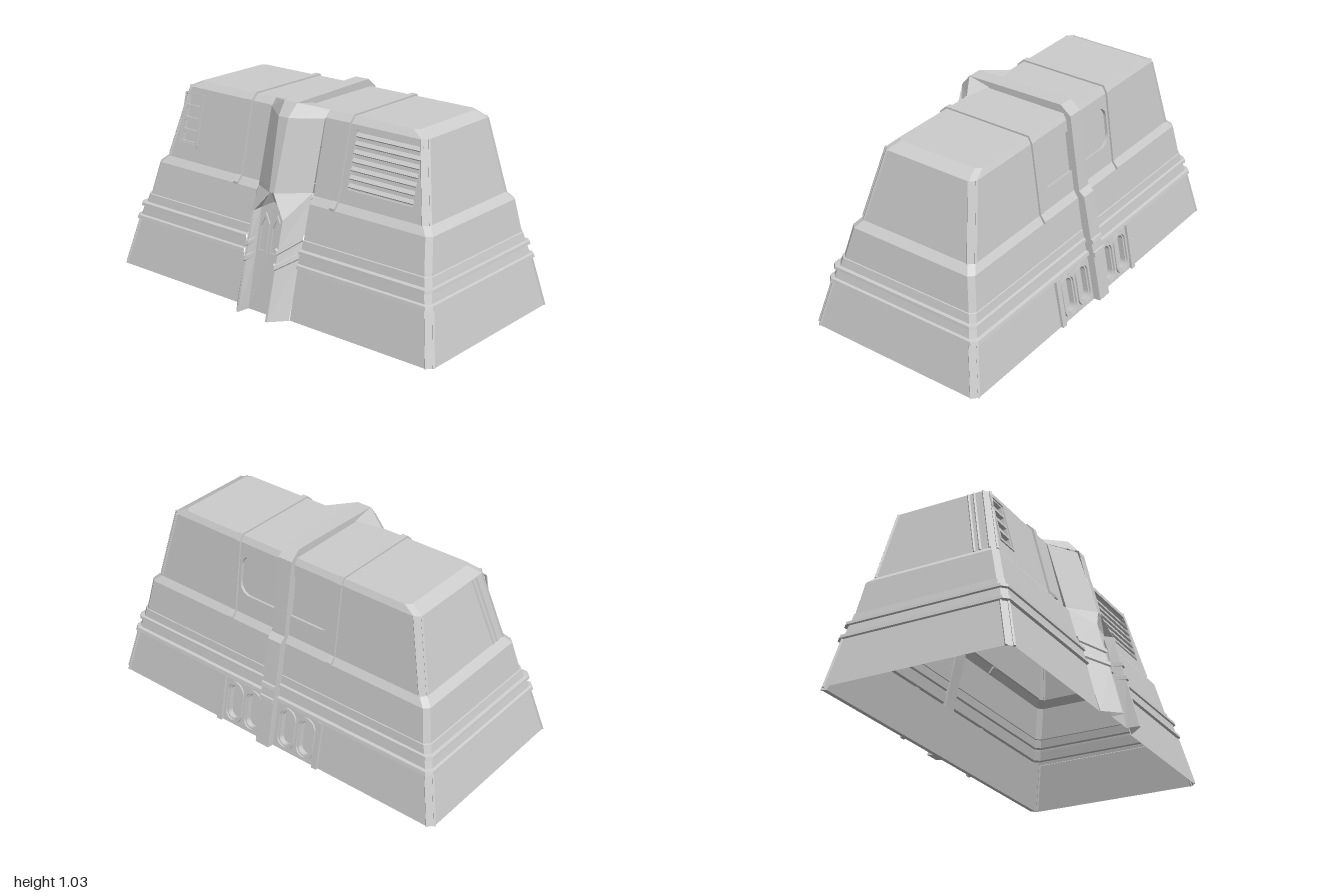
import * as THREE from 'three';

const mat = new THREE.MeshStandardMaterial({ color: 0xcccccc, flatShading: true, side: THREE.DoubleSide });
const V = (x, y, z) => new THREE.Vector3(x, y, z);
const V2 = (x, y) => new THREE.Vector2(x, y);

function add(parent, name, geo) {
  const m = new THREE.Mesh(geo, mat);
  m.name = name;
  parent.add(m);
  return m;
}

// Skin between rows of points; keep(row, column) can leave openings
function loft(rows, closed, keep = () => true) {
  const pos = [];
  const n = rows[0].length;
  for (let j = 0; j < rows.length - 1; j++) {
    for (let i = 0; i < (closed ? n : n - 1); i++) {
      if (!keep(j, i)) continue;
      const k = (i + 1) % n;
      const [a, b, c, d] = [rows[j][i], rows[j][k], rows[j + 1][k], rows[j + 1][i]];
      for (const p of [a, d, b, b, d, c]) pos.push(p.x, p.y, p.z);
    }
  }
  const g = new THREE.BufferGeometry();
  g.setAttribute('position', new THREE.Float32BufferAttribute(pos, 3));
  g.computeVertexNormals();
  return g;
}

function roundRect(cx, cy, w, h, r) {
  const s = new THREE.Shape();
  const x = w / 2 - r, y = h / 2 - r;
  s.absarc(cx + x, cy + y, r, 0, Math.PI / 2);
  s.absarc(cx - x, cy + y, r, Math.PI / 2, Math.PI);
  s.absarc(cx - x, cy - y, r, Math.PI, Math.PI * 1.5);
  s.absarc(cx + x, cy - y, r, Math.PI * 1.5, Math.PI * 2);
  s.closePath();
  return s;
}

const extrude = (shape, depth) =>
  new THREE.ExtrudeGeometry(shape, { depth, bevelEnabled: false, curveSegments: 8 });

// Flat wall with recesses; local origin is the middle of its lower edge, +z faces out
function panel(parent, name, [bl, br, tr, tl], holes, depth) {
  const u = br.clone().sub(bl).normalize();
  const n = u.clone().cross(tl.clone().sub(bl)).normalize();
  const v = n.clone().cross(u);
  const o = bl.clone().add(br).multiplyScalar(0.5);
  const flat = [bl, br, tr, tl].map(p => p.clone().sub(o)).map(p => V2(p.dot(u), p.dot(v)));
  const g = new THREE.Group();
  g.name = name;
  g.applyMatrix4(new THREE.Matrix4().makeBasis(u, v, n).setPosition(o));
  parent.add(g);
  const wall = new THREE.Shape(flat);
  wall.holes.push(...holes);
  add(g, name + 'Wall', extrude(wall, depth)).position.z = -depth;
  add(g, name + 'RecessBack', new THREE.ShapeGeometry(new THREE.Shape(flat))).position.z = -depth;
  return g;
}

// Strap of a given side profile, centred on z
function strap(parent, name, pts, z, width) {
  const g = extrude(new THREE.Shape(pts.map(p => V2(...p))), width);
  add(parent, name, g.translate(0, 0, z - width / 2));
}

function bar(parent, name, a, b, r) {
  const m = add(parent, name, new THREE.CylinderGeometry(r, r, a.distanceTo(b), 4));
  m.position.copy(a).add(b).multiplyScalar(0.5);
  m.quaternion.setFromUnitVectors(V(0, 1, 0), b.clone().sub(a).normalize());
}

// Hull levels: y, -x face, +x face, half length
const LEVELS = [
  [0, -0.465, 0.51, 1], [0.245, -0.405, 0.462, 0.945],
  [0.25, -0.418, 0.475, 0.953], [0.268, -0.413, 0.47, 0.949],
  [0.272, -0.4, 0.455, 0.937], [0.318, -0.39, 0.445, 0.925],
  [0.32, -0.4, 0.455, 0.937], [0.335, -0.397, 0.452, 0.934],
  [0.338, -0.375, 0.44, 0.918], [0.38, -0.365, 0.432, 0.907],
  [0.382, -0.358, 0.428, 0.902], [0.55, -0.315, 0.4, 0.872],
  [0.585, -0.285, 0.375, 0.835], [0.95, -0.195, 0.322, 0.75],
  [0.98, -0.165, 0.305, 0.685],
];
const GAP = 0.17, CABIN = 12;

function ring([y, l, r, z]) {
  const c = 0.025;
  return [[l, -GAP], [l, c - z], [l + c, -z], [r - c, -z], [r, c - z],
    [r, z - c], [r - c, z], [l + c, z], [l, z - c], [l, GAP]].map(([a, b]) => V(a, y, b));
}

function buildHull(root) {
  const rows = LEVELS.map(ring);
  const lo = rows[CABIN], hi = rows[CABIN + 1];
  // Walls and roof, leaving room for the recessed panels and the buttress
  const keep = (j, i) => {
    if (i === 9) return j > CABIN;
    if (j === 0) return i !== 4;
    return j !== CABIN || ![0, 4, 8].includes(i);
  };
  const roofCentre = rows[0].map(() => V(0.07, 0.98, 0));
  add(root, 'hull', loft([...rows, roofCentre], true, keep));

  // Side window
  panel(root, 'window', [lo[5], lo[4], hi[4], hi[5]], [roundRect(0, 0.207, 0.565, 0.207, 0.06)], 0.015);

  // Oval ports in the lower wall
  const ports = [-0.23, -0.11, 0.11, 0.23];
  const base = panel(root, 'ports', [rows[0][5], rows[0][4], rows[1][4], rows[1][5]],
    ports.map(u => roundRect(u, 0.125, 0.07, 0.185, 0.035)), 0.03);
  for (const u of ports) {
    const rim = roundRect(u, 0.125, 0.11, 0.225, 0.055);
    rim.holes.push(roundRect(u, 0.125, 0.086, 0.2, 0.043));
    add(base, 'portRim', extrude(rim, 0.01));
  }

  // Louvred vent
  const vent = panel(root, 'vent', [lo[9], lo[8], hi[8], hi[9]].map(p => p.clone()),
    [roundRect(0.06, 0.21, 0.38, 0.28, 0.004)], 0.025);
  for (let k = 0; k < 7; k++) {
    const slat = add(vent, 'ventSlat', new THREE.BoxGeometry(0.38, 0.022, 0.008));
    slat.position.set(0.06, 0.09 + k * 0.04, -0.01);
    slat.rotation.x = -0.6;
  }

  // Column of small openings
  const slots = [0, 1, 2, 3].map(k => roundRect(-0.2, 0.12 + k * 0.062, 0.09, 0.046, 0.003));
  const grille = panel(root, 'grille', [lo[1], lo[0], hi[0], hi[1]], slots, 0.02);
  const frame = roundRect(-0.2, 0.213, 0.13, 0.27, 0.004);
  frame.holes.push(roundRect(-0.2, 0.213, 0.11, 0.25, 0.004));
  add(grille, 'grilleFrame', extrude(frame, 0.006));

  // Corner trims on the base and the cabin
  for (const j of [0, CABIN]) {
    for (let i = 1; i <= 8; i++) bar(root, 'cornerTrim', rows[j][i], rows[j + 1][i], 0.007);
  }
  // Ribs on the rear wall
  for (const x of [0.05, 0.08]) {
    bar(root, 'rearRib', lo[2].clone().add(V(x, 0, 0)), hi[2].clone().add(V(x, 0, 0)), 0.007);
  }
}

function buildStraps(root) {
  // Main hoop down the wall and over the roof
  strap(root, 'hoop', [[0.548, 0.008], [0.502, 0.245], [0.51, 0.25], [0.505, 0.272], [0.496, 0.274],
    [0.486, 0.318], [0.496, 0.322], [0.49, 0.34], [0.48, 0.342], [0.435, 0.565], [0.405, 0.59],
    [0.345, 0.975], [0.29, 1.02], [-0.25, 1.01], [-0.25, 0.97], [0.29, 0.97], [0.31, 0.94],
    [0.36, 0.585], [0.385, 0.55], [0.44, 0.3], [0.5, 0]], 0, 0.08);
  for (const z of [-0.31, 0.31]) {
    strap(root, 'roofRail', [[0.41, 0.55], [0.408, 0.562], [0.384, 0.592], [0.331, 0.955], [0.312, 0.989],
      [-0.17, 0.989], [-0.205, 0.955], [-0.294, 0.592], [-0.322, 0.562], [-0.322, 0.55], [-0.3, 0.55],
      [-0.27, 0.585], [-0.185, 0.945], [-0.155, 0.97], [0.295, 0.97], [0.312, 0.945], [0.365, 0.58],
      [0.39, 0.55]], z, 0.03);
    strap(root, 'portPost', [[0.524, 0], [0.476, 0.25], [0.44, 0.25], [0.49, 0]], z, 0.03);
  }
}

function buildButtress(root) {
  const g = new THREE.Group();
  g.name = 'buttress';
  root.add(g);
  const both = half => [...half, ...half.slice(0, -1).reverse().map(p => V(p.x, p.y, -p.z))];
  const foot = [V(-0.47, 0, 0.17), V(-0.55, 0, 0.1), V(-0.55, 0, 0.088), V(-0.485, 0, 0.08), V(-0.485, 0, 0)];
  const chin = [V(-0.3, 0.57, 0.17), V(-0.43, 0.48, 0.1), V(-0.426, 0.49, 0.088), V(-0.385, 0.5, 0.075), V(-0.375, 0.54, 0)];
  const neck = [V(-0.293, 0.6, 0.17), V(-0.395, 0.59, 0.015), V(-0.395, 0.592, 0.012), V(-0.395, 0.592, 0.008), V(-0.395, 0.592, 0)];

  // Twin fins with two raised bands, joining into a prow
  const bands = [[0, 0], [0.245, 0], [0.25, 0.01], [0.27, 0.01], [0.275, 0], [0.318, 0], [0.322, 0.01], [0.34, 0.01], [0.344, 0]];
  const rows = bands.map(([y, out]) => both(foot.map((p, i) => {
    const q = p.clone().lerp(chin[i], y / 0.48);
    if (i < 3) q.x -= out;
    return q;
  })));
  add(g, 'fins', loft([...rows, both(chin), both(neck)], false));

  // Pointed frames in the channel between the fins
  for (const z of [-0.037, 0.037]) {
    const arch = (w, b, t) => new THREE.Shape([V2(-w, b), V2(w, b), V2(w, t - 0.05), V2(0, t), V2(-w, t - 0.05)]);
    const s = arch(0.03, 0, 0.2);
    s.holes.push(arch(0.02, 0.012, 0.182));
    const f = add(g, 'channelFrame', extrude(s, 0.012));
    f.rotation.set(0, -Math.PI / 2, 0);
    f.rotateX(-0.2);
    f.position.set(-0.424, 0.285, z);
  }

  // Prow faces with stepped slots
  const shoulder = V(-0.2, 0.945, 0.17), crown = V(-0.305, 0.945, 0.03);
  for (const s of [1, -1]) {
    const m = p => V(p.x, p.y, p.z * s);
    const c = s > 0 ? [neck[1], neck[0], shoulder, crown] : [neck[0], neck[1], crown, shoulder];
    panel(g, 'prow', c.map(m),
      [roundRect(s * 0.022, 0.11, 0.13, 0.05, 0.003), roundRect(s * 0.055, 0.275, 0.125, 0.05, 0.003)], 0.02);
  }

  // Ridge and cap running onto the roof
  const capRow = (a, b) => both([a, b, V(b.x, b.y, 0)]);
  add(g, 'prowCap', loft([
    capRow(neck[0], neck[1]).slice(1, 4), capRow(shoulder, crown).slice(1, 4)], false));
  add(g, 'prowTop', loft([capRow(shoulder, crown),
    capRow(V(-0.165, 0.983, 0.17), V(-0.25, 1.01, 0.04)),
    capRow(V(-0.16, 0.981, 0.17), V(-0.13, 0.985, 0.04))], false));
}

export function createModel() {
  const root = new THREE.Group();
  root.name = 'armouredShelter';
  buildHull(root);
  buildStraps(root);
  buildButtress(root);
  return root;
}
